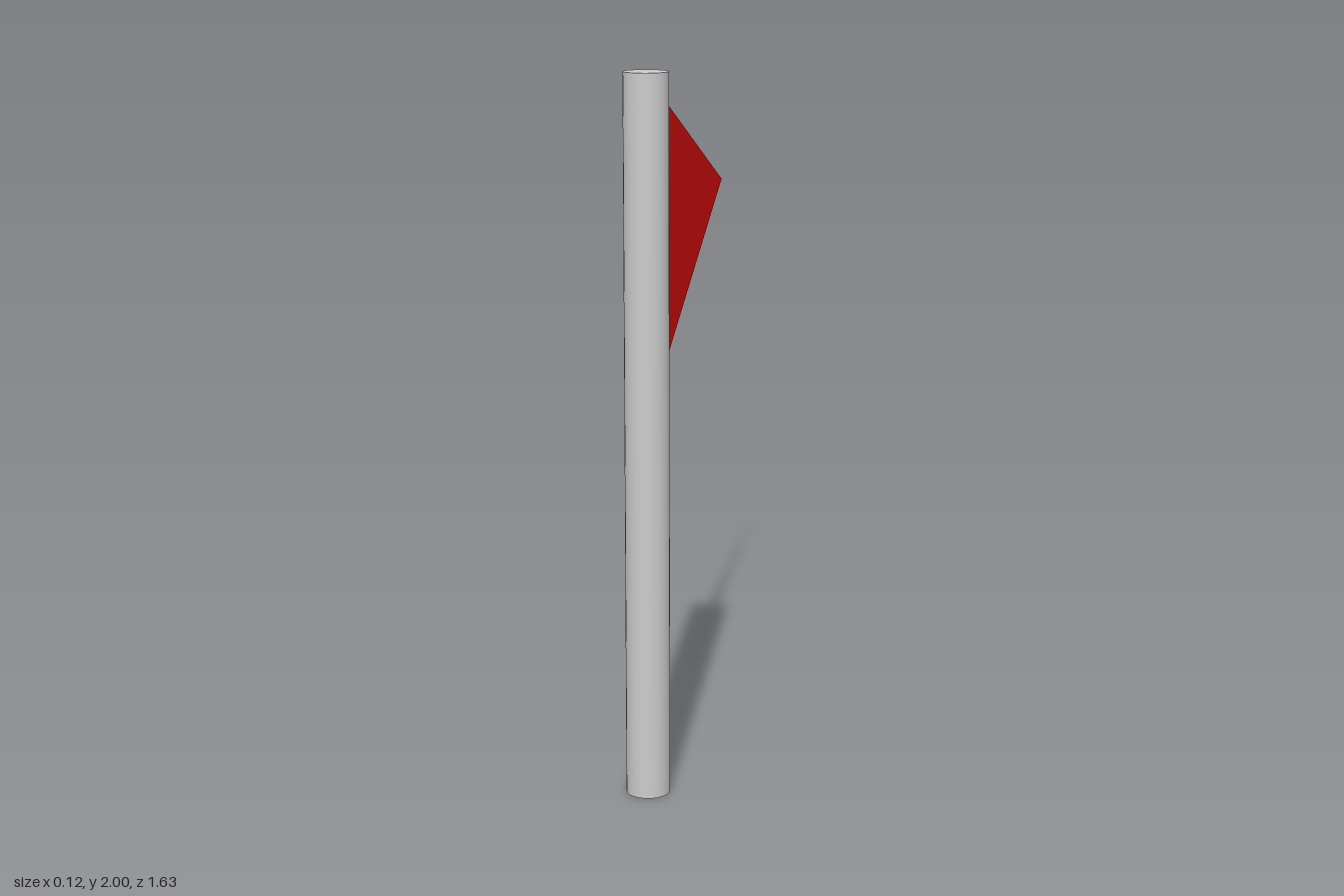
import * as THREE from 'three';

export function createModel() {
  const model = new THREE.Group();
  const radius = 0.061, poleZ = 0.754, height = 2;

  // Upright round pole
  const pole = new THREE.Mesh(
    new THREE.CylinderGeometry(radius, radius, height, 32),
    new THREE.MeshStandardMaterial({ color: 0xcccccc })
  );
  pole.name = 'pole';
  pole.position.set(0, height / 2, poleZ);
  model.add(pole);

  // Thin triangular pennant, drawn as (distance from pole, height)
  const outline = new THREE.Shape([
    new THREE.Vector2(0, 1.07),
    new THREE.Vector2(1.508, 1.522),
    new THREE.Vector2(0, 1.975),
  ]);
  const pennant = new THREE.Mesh(
    new THREE.ShapeGeometry(outline),
    new THREE.MeshStandardMaterial({ color: 0xee1111, side: THREE.DoubleSide })
  );
  pennant.name = 'pennant';
  // Turn it to stream backwards from the rear of the pole
  pennant.rotation.y = Math.PI / 2;
  pennant.position.z = poleZ - radius;
  model.add(pennant);

  return model;
}
